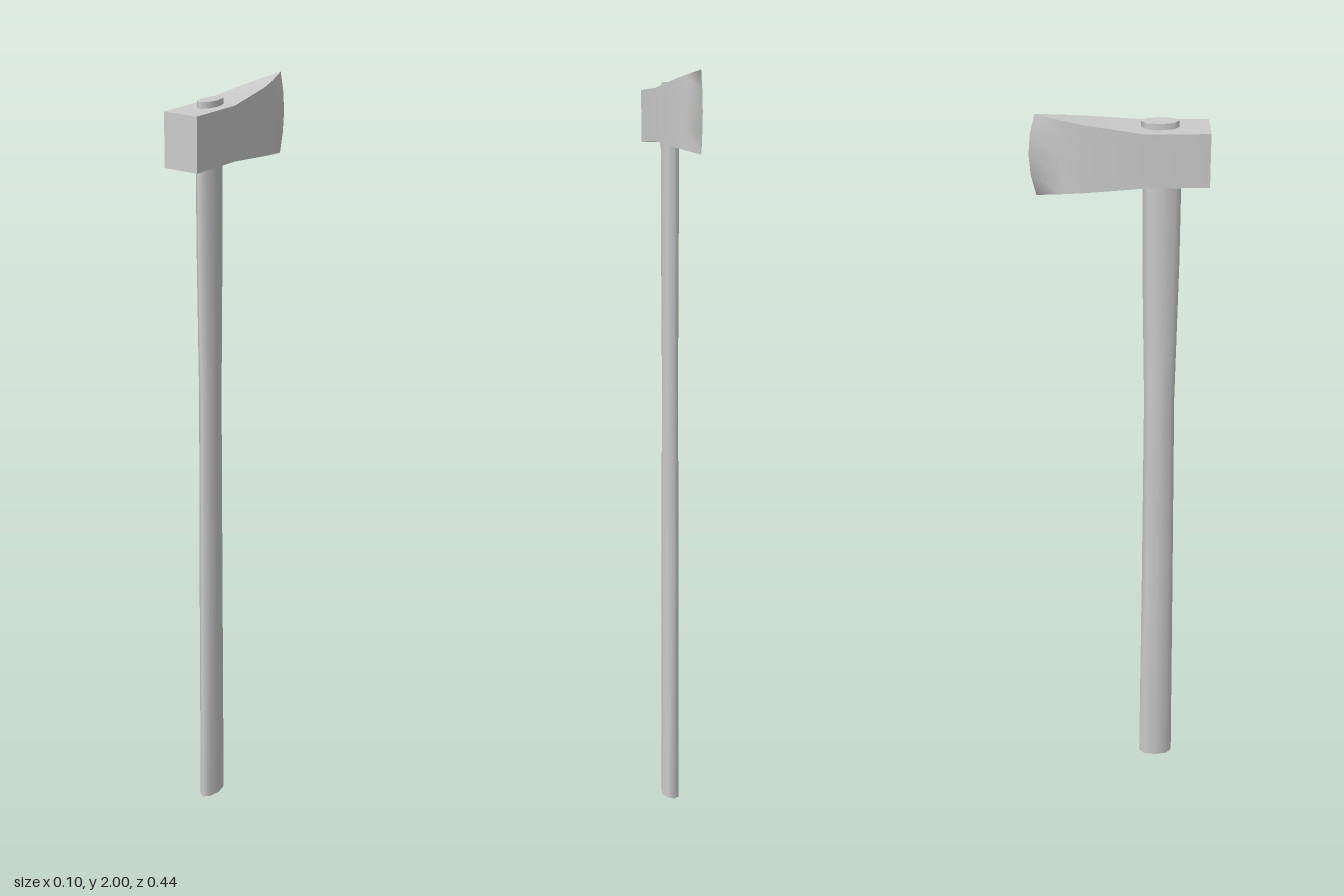
import * as THREE from 'three';

const material = new THREE.MeshStandardMaterial({ color: 0xcccccc });

// Smooth surface through rows of points; each call keeps its own edges sharp
function patch(name, rows) {
  const n = rows[0].length, index = [];
  for (let i = 0; i < rows.length - 1; i++) {
    for (let j = 0; j < n - 1; j++) {
      const a = i * n + j, b = a + 1, c = a + n, d = c + 1;
      index.push(a, b, c, b, d, c);
    }
  }
  const geometry = new THREE.BufferGeometry();
  geometry.setAttribute('position', new THREE.Float32BufferAttribute(rows.flat(2), 3));
  geometry.setIndex(index);
  geometry.computeVertexNormals();
  const mesh = new THREE.Mesh(geometry, material);
  mesh.name = name;
  return mesh;
}

// Wedge head: stations from poll to cutting edge as [z, half width, half height]
function createHead() {
  const head = new THREE.Group();
  head.name = 'axeHead';
  const midY = 1.894;
  const stations = [
    [0.222, 0.05, 0.07], [0.066, 0.05, 0.07], [-0.084, 0.033, 0.088],
    [-0.14, 0.02, 0.096], [-0.222, 0, 0.106],
  ];
  // the cutting edge bows forward in the middle
  const point = ([z, w, h], side, v) => [side * w, midY + v * h, w === 0 ? z + 0.017 * v * v : z];
  const line = (side, v) => stations.map(s => point(s, side, v));

  head.add(
    // both cheeks in one sheet, wrapped smoothly round the cutting edge
    patch('cheeks', [-1, -0.5, 0, 0.5, 1].map(v =>
      [...line(1, v), ...line(-1, v).reverse().slice(1)])),
    patch('headTop', [line(1, 1), line(-1, 1)]),
    patch('headUnderside', [line(-1, -1), line(1, -1)]),
    patch('poll', [-1, 1].map(v => [-1, 1].map(side => point(stations[0], side, v)))),
  );
  return head;
}

// Oval eight-sided handle, slightly slimmer at the middle
function createHandle() {
  const height = 1.98;
  // [height, half width, half depth, centre z]
  const sections = [
    [0, 0.023, 0.047, 0.107], [0.65, 0.023, 0.043, 0.107], [1.2, 0.022, 0.04, 0.106],
    [1.6, 0.023, 0.047, 0.106], [1.82, 0.023, 0.048, 0.106], [height, 0.023, 0.047, 0.1],
  ];
  const last = sections.length - 1;
  const geometry = new THREE.CylinderGeometry(1, 1, height, 8, last);
  const pos = geometry.attributes.position;
  for (let i = 0; i < pos.count; i++) {
    const [y, w, d, z] = sections[Math.round((pos.getY(i) / height + 0.5) * last)];
    pos.setXYZ(i, pos.getX(i) * w, y, pos.getZ(i) * d + z);
  }
  geometry.computeVertexNormals();
  // join the shading across the seam
  const normal = geometry.attributes.normal, a = new THREE.Vector3(), b = new THREE.Vector3();
  for (let row = 0; row <= last; row++) {
    const i = row * 9, j = i + 8;
    a.fromBufferAttribute(normal, i).add(b.fromBufferAttribute(normal, j)).normalize();
    normal.setXYZ(i, a.x, a.y, a.z);
    normal.setXYZ(j, a.x, a.y, a.z);
  }
  const handle = new THREE.Mesh(geometry, material);
  handle.name = 'handle';
  return handle;
}

export function createModel() {
  const axe = new THREE.Group();
  axe.name = 'axe';
  axe.add(createHandle(), createHead());
  return axe;
}
